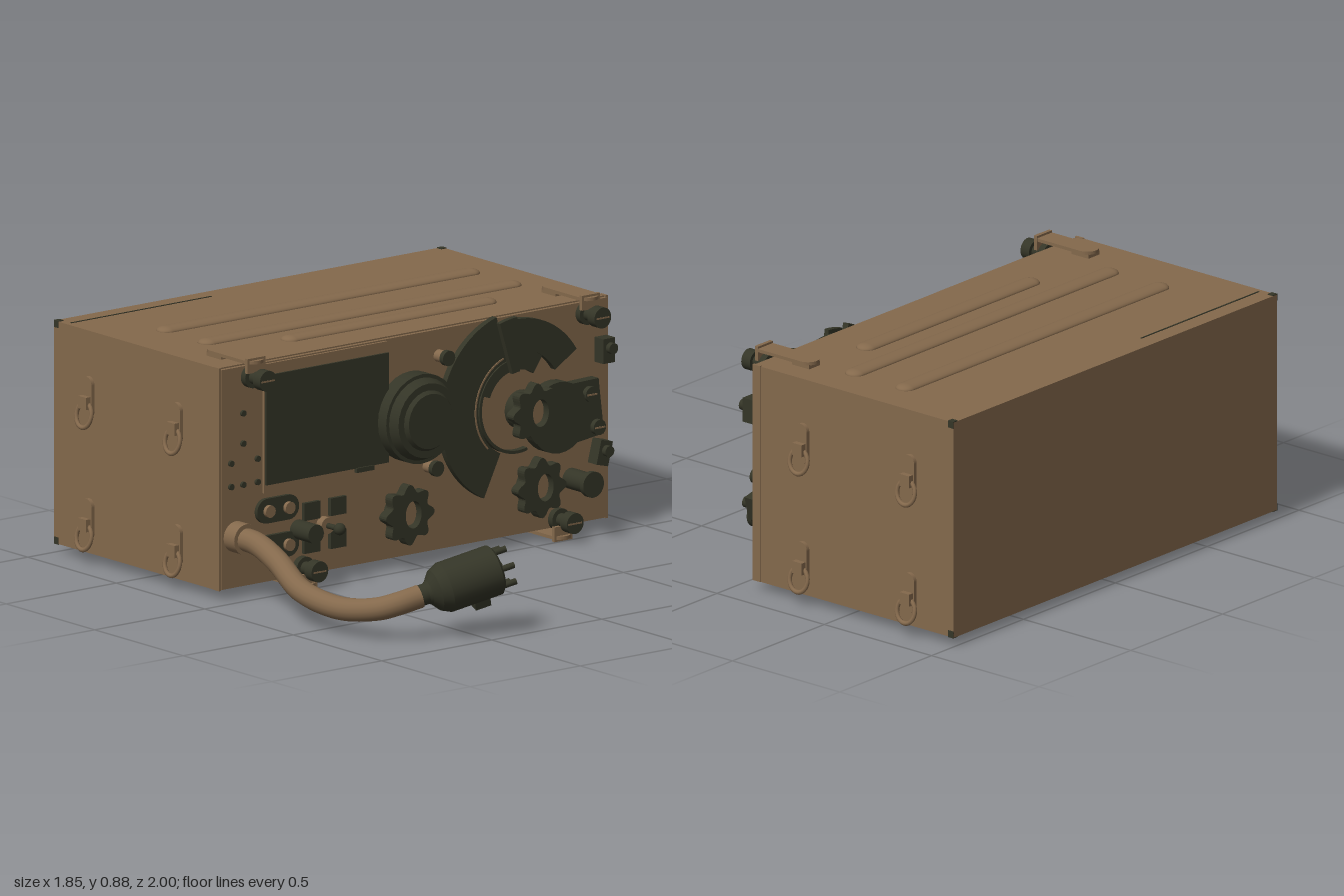
import * as THREE from 'three';

const brown = new THREE.MeshStandardMaterial({ color: 0x84694c });
brown.name = 'brownPaint';
const dark = new THREE.MeshStandardMaterial({ color: 0x343527 });
dark.name = 'darkBakelite';

const PANEL = -0.06; // z of the front panel
const D = Math.PI / 180;

export function createModel() {
  const model = new THREE.Group();
  model.name = 'fieldRadio';

  const add = (name, geo, mat, x = 0, y = 0, z = 0, parent = model) => {
    const m = new THREE.Mesh(geo, mat);
    m.name = name;
    m.position.set(x, y, z);
    parent.add(m);
    return m;
  };
  const group = (name, x = 0, y = 0, z = 0) => {
    const g = new THREE.Group();
    g.name = name;
    g.position.set(x, y, z);
    model.add(g);
    return g;
  };
  const box = (name, mat, x0, x1, y0, y1, z0, z1, parent) => add(name,
    new THREE.BoxGeometry(x1 - x0, y1 - y0, z1 - z0), mat,
    (x0 + x1) / 2, (y0 + y1) / 2, (z0 + z1) / 2, parent);
  // Round part facing the front, from z0 to z1
  const disc = (name, mat, x, y, r, z0, z1, parent, rFront = r) => add(name,
    new THREE.CylinderGeometry(rFront, r, z1 - z0, 28).rotateX(Math.PI / 2), mat, x, y, (z0 + z1) / 2, parent);
  // Flat outline extruded towards the front
  const plate = (name, mat, shape, z0, z1, x = 0, y = 0, parent = model) => add(name,
    new THREE.ExtrudeGeometry(shape, { depth: z1 - z0, bevelEnabled: false, curveSegments: 24 }), mat, x, y, z0, parent);
  const sector = (r0, r1, a0, a1) => {
    const s = new THREE.Shape();
    s.absarc(0, 0, r1, a0 * D, a1 * D, false);
    s.absarc(0, 0, r0, a1 * D, a0 * D, true);
    s.closePath();
    return s;
  };
  const stadium = (w, h) => {
    const s = new THREE.Shape(), r = h / 2, l = w / 2 - r;
    s.absarc(l, 0, r, -Math.PI / 2, Math.PI / 2, false);
    s.absarc(-l, 0, r, Math.PI / 2, Math.PI * 1.5, false);
    s.closePath();
    return s;
  };

  // Case with front rim and dark back corners
  box('caseBody', brown, -0.88, 0.88, 0.05, 0.86, -1, -0.075);
  box('frontPanel', brown, -0.875, 0.875, 0.055, 0.855, -0.075, PANEL);
  for (const sx of [-1, 1]) {
    box('sideRim', brown, sx * 0.878 - 0.005, sx * 0.878 + 0.005, 0.05, 0.862, -0.1, -0.065);
    for (const y of [0.061, 0.85]) {
      box('backCorner', dark, sx * 0.87 - 0.012, sx * 0.87 + 0.012, y - 0.013, y + 0.013, -1, -0.975);
    }
  }
  box('topSeam', dark, -0.86, -0.22, 0.859, 0.862, -0.935, -0.929);

  // Pressed ribs on the lid
  for (const [x0, x1, z] of [[-0.7, 0.75, -0.635], [-0.7, 0.75, -0.4], [-0.44, 0.52, -0.255]]) {
    const rib = add('lidRib', new THREE.CapsuleGeometry(0.038, x1 - x0 - 0.076, 8, 20).rotateZ(Math.PI / 2),
      brown, (x0 + x1) / 2, 0.86, z);
    rib.scale.y = 0.45;
  }

  // Front clamps: strap over the edge, tab and thumb screw
  for (const [x, edge, s] of [[-0.76, 0.86, 1], [0.76, 0.86, 1], [-0.525, 0.05, -1], [0.635, 0.05, -1]]) {
    const g = group('clamp', x, edge, 0);
    g.scale.y = s;
    const strap = stadium(0.27, 0.082);
    const m = add('strap', new THREE.ExtrudeGeometry(strap, { depth: 0.012, bevelEnabled: false }).rotateX(-Math.PI / 2).rotateY(Math.PI / 2),
      brown, 0, 0.014, -0.125, g);
    m.scale.y = 1;
    box('strapFoot', brown, -0.03, 0.03, 0, 0.016, -0.25, -0.17, g);
    box('tab', brown, -0.041, 0.041, -0.02, 0.034, -0.02, -0.006, g);
    disc('screwStem', dark, 0, -0.04, 0.024, PANEL, 0.03, g);
    disc('screwCollar', dark, 0, -0.04, 0.04, -0.045, -0.02, g);
    disc('screwHead', dark, 0, -0.04, 0.038, 0.02, 0.06, g);
    box('screwSlot', brown, -0.03, 0.03, -0.043, -0.037, 0.055, 0.061, g);
  }

  // Side latches: hinge plate, roller and hanging ring
  for (const sx of [-1, 1]) for (const z of [-0.3, -0.8]) for (const y of [0.6, 0.155]) {
    const g = group('sideLatch', sx * 0.88, y, z);
    g.rotation.y = sx * Math.PI / 2;
    const p = plate('latchPlate', brown, stadium(0.15, 0.055), 0, 0.014, 0, 0.02, g);
    p.rotation.z = Math.PI / 2;
    box('latchHook', brown, -0.022, 0.022, -0.02, 0.025, 0.01, 0.035, g);
    const ring = add('latchRing', new THREE.TorusGeometry(0.041, 0.008, 8, 24), brown, 0, -0.043, 0.026, g);
    ring.rotation.x = -0.2;
    ring.scale.y = 1.1;
  }

  // Chart plate with its holder
  box('chartHolder', brown, -0.69, -0.13, 0.38, 0.85, PANEL, -0.05);
  box('chartPlate', dark, -0.685, -0.13, 0.41, 0.81, -0.05, -0.042);
  box('chartCatch', dark, -0.28, -0.2, 0.395, 0.412, -0.05, -0.035);

  // Large tuning dial
  const dial = group('tuningDial', -0.017, 0.56, 0);
  disc('dialSkirt', dark, 0, 0, 0.163, PANEL, 0.005, dial);
  disc('dialRim', dark, 0, 0, 0.15, 0.005, 0.04, dial, 0.135);
  disc('dialCap', dark, 0, 0, 0.11, 0.04, 0.055, dial, 0.1);

  // Sector scale with pointer plate
  const scale = group('sectorScale', 0.45, 0.53, 0);
  plate('scaleLeft', dark, sector(0.18, 0.35, 106, 244), PANEL, -0.035, 0, 0, scale);
  plate('scaleRight', dark, sector(0.2, 0.315, 32, 106), PANEL, -0.035, 0, 0, scale);
  plate('scaleInnerRing', dark, sector(0.163, 0.174, 95, 285), PANEL, -0.035, 0, 0, scale);
  plate('scaleLine', brown, sector(0.19, 0.196, 110, 225), -0.035, -0.032, 0, 0, scale);
  plate('scaleHub', dark, sector(0.13, 0.2, 55, 160), PANEL, -0.04, 0, 0, scale);
  plate('pointer', dark, sector(0.13, 0.33, 93, 107), -0.035, -0.015, 0, 0, scale);

  // Lever disc beside the scale
  const lever = new THREE.Shape([[0, 0.12], [0.19, 0.125], [0.215, -0.08], [0.05, -0.1]].map(p => new THREE.Vector2(...p)));
  disc('leverDisc', dark, 0.62, 0.465, 0.13, PANEL, -0.01);
  plate('leverPlate', dark, lever, PANEL, -0.02, 0.615, 0.455);
  for (const [x, y] of [[0.76, 0.53], [0.795, 0.405]]) {
    disc('leverScrew', dark, x, y, 0.028, -0.02, 0);
    box('leverScrewSlot', brown, x - 0.022, x + 0.022, y - 0.003, y + 0.003, 0, 0.003);
  }

  // Lobed control knobs with an open centre
  const lobed = new THREE.Shape();
  for (let i = 0; i <= 96; i++) {
    const a = i / 96 * Math.PI * 2, r = 0.097 + 0.013 * Math.cos(8 * a);
    lobed[i ? 'lineTo' : 'moveTo'](r * Math.cos(a), r * Math.sin(a));
  }
  const hole = new THREE.Path();
  hole.absellipse(0.015, 0, 0.036, 0.05, 0, Math.PI * 2, true);
  lobed.holes.push(hole);
  for (const [x, y, z] of [[0.48, 0.51, 0.04], [-0.07, 0.217, 0.005], [0.53, 0.225, 0.005]]) {
    const g = group('controlKnob', x, y, 0);
    plate('knobGrip', dark, lobed, z - 0.04, z, 0, 0, g);
    disc('knobSkirt', dark, 0, 0, 0.07, PANEL, z - 0.04, g);
    disc('knobCentre', brown, 0.015, 0, 0.045, z - 0.04, z - 0.03, g);
  }

  // Small studs, buttons and side catches
  for (const [x, y, r, z] of [[0.11, 0.76, 0.028, 0], [0.06, 0.365, 0.028, 0], [0.71, 0.222, 0.047, 0.07]]) {
    disc('studStem', r < 0.03 ? brown : dark, x, y, r * 0.8, PANEL, z - 0.02);
    disc('studHead', dark, x, y, r, z - 0.02, z);
  }
  for (const [x, y, a] of [[0.845, 0.675, 0], [0.825, 0.305, -0.25]]) {
    const c = group('panelCatch', x, y, 0);
    c.rotation.z = a;
    box('catchBody', dark, -0.027, 0.027, -0.045, 0.045, PANEL, -0.01, c);
    disc('catchScrew', dark, 0.005, 0.01, 0.02, -0.01, 0.01, c);
  }
  for (const [x, y] of [[-0.78, 0.685], [-0.78, 0.575], [-0.835, 0.51], [-0.715, 0.51], [-0.835, 0.425], [-0.78, 0.425], [-0.715, 0.425]]) {
    disc('panelRivet', dark, x, y, 0.011, PANEL, -0.05);
  }

  // Sockets and toggle switches at lower left
  for (const y of [0.315, 0.18]) {
    plate('socketPlate', dark, stadium(0.19, 0.09), PANEL, -0.045, -0.63, y);
    for (const dx of [-0.045, 0.045]) disc('socketPin', brown, -0.63 + dx, y, 0.022, -0.045, -0.03);
  }
  for (const y of [0.285, 0.165]) for (const x of [-0.475, -0.355]) {
    box('switchPlate', dark, x - 0.036, x + 0.036, y - 0.032, y + 0.032, PANEL, -0.045);
  }
  disc('switchBase', brown, -0.415, 0.225, 0.03, PANEL, -0.03);
  disc('switchStem', dark, -0.415, 0.225, 0.01, -0.03, 0.03);
  add('switchTip', new THREE.SphereGeometry(0.022, 16, 12), dark, -0.415, 0.225, 0.035);
  disc('indicator', dark, -0.53, 0.225, 0.035, PANEL, 0.045);

  // Cable leaving the panel
  const path = [[-0.81, 0.24, -0.06], [-0.81, 0.235, 0.06], [-0.83, 0.2, 0.2], [-0.875, 0.135, 0.4],
    [-0.86, 0.11, 0.6], [-0.815, 0.13, 0.75], [-0.77, 0.15, 0.8], [-0.69, 0.172, 0.83]];
  const curve = new THREE.CatmullRomCurve3(path.map(p => new THREE.Vector3(...p)));
  add('cable', new THREE.TubeGeometry(curve, 60, 0.042, 16), brown);
  disc('cableGland', brown, -0.81, 0.24, 0.056, PANEL, 0.0);

  // Plug: axis runs along the group's local y
  const plug = group('plug', -0.73, 0.162, 0.815);
  plug.quaternion.setFromUnitVectors(new THREE.Vector3(0, 1, 0), new THREE.Vector3(0.33, 0.085, 0.1).normalize());
  const profile = [[0, 0], [0.038, 0], [0.038, 0.07], [0.045, 0.08], [0.075, 0.105], [0.092, 0.14], [0.092, 0.335], [0.08, 0.345], [0, 0.345]];
  const body = profile.slice(0, -1).flatMap((p, i) => [p, profile[i + 1]]);
  for (let i = 0; i < body.length; i += 2) {
    add('plugShell', new THREE.LatheGeometry([new THREE.Vector2(...body[i]), new THREE.Vector2(...body[i + 1])], 28), dark, 0, 0, 0, plug);
  }
  for (let i = 0; i < 6; i++) {
    const a = i * 60 * D;
    add('plugPin', new THREE.CylinderGeometry(0.012, 0.012, 0.05, 10), dark,
      0.07 * Math.cos(a), 0.365, 0.07 * Math.sin(a), plug);
  }
  box('plugKey', dark, 0.08, 0.125, 0.24, 0.3, -0.025, 0.025, plug);

  return model;
}
